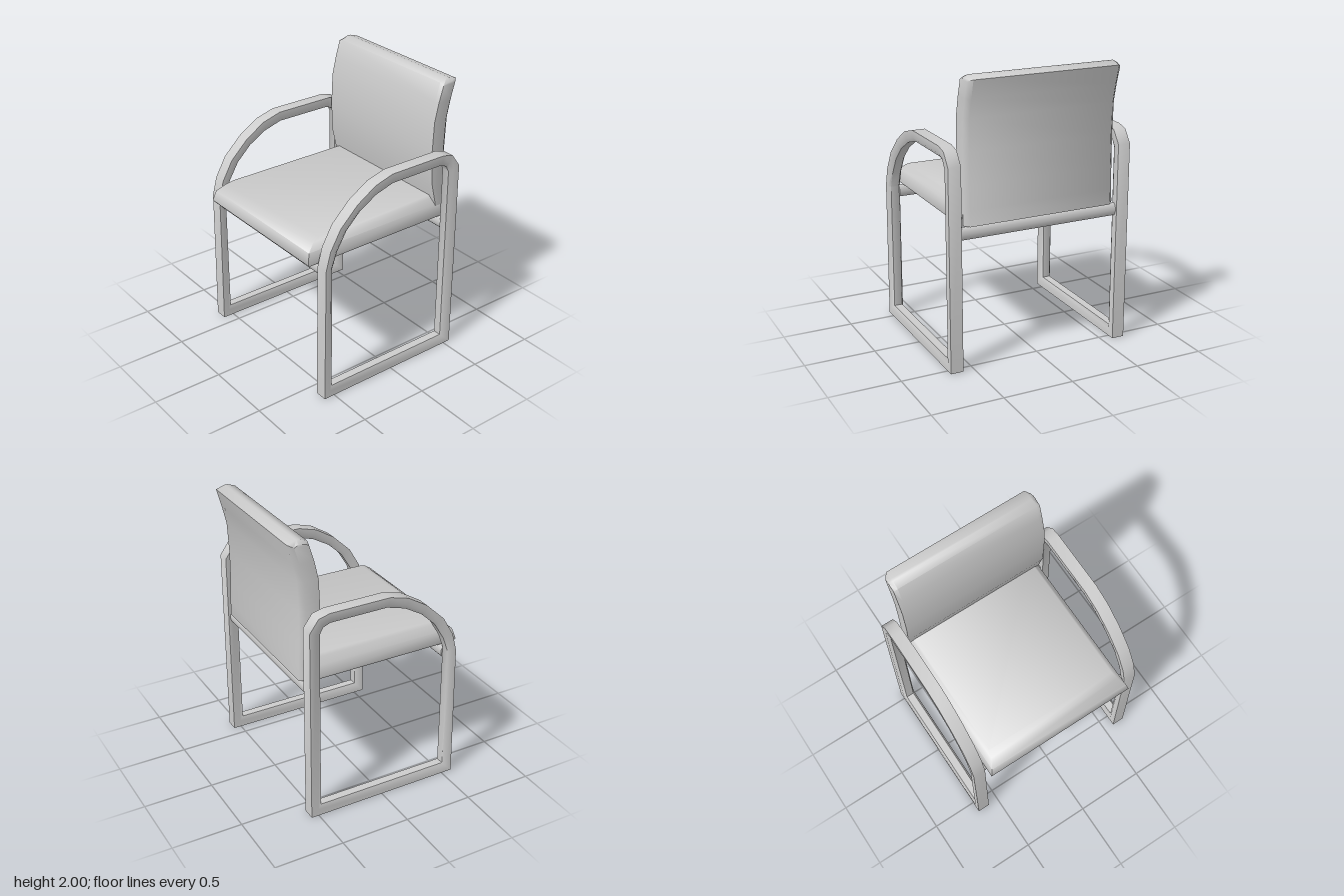
import * as THREE from 'three';
import { toCreasedNormals } from 'three/addons/utils/BufferGeometryUtils.js';

const material = new THREE.MeshStandardMaterial({ color: 0xcccccc });

// Skin a series of matching rings; either wrap round to the start or cap both ends.
function loft(rings, wrap, crease) {
  const pos = [];
  const n = rings[0].length;
  const quad = (a, b, c, d) => pos.push(...a, ...b, ...c, ...a, ...c, ...d);
  const last = rings.length - 1;
  for (let j = 0; j < (wrap ? rings.length : last); j++) {
    const r = rings[j], s = rings[(j + 1) % rings.length];
    for (let i = 0; i < n; i++) {
      const k = (i + 1) % n;
      quad(r[i], r[k], s[k], s[i]);
    }
  }
  if (!wrap) {
    const r = rings[0], s = rings[last];
    for (let i = 0; i < n / 2 - 1; i++) {
      quad(s[i], s[i + 1], s[n - 2 - i], s[n - 1 - i]);
      quad(r[n - 1 - i], r[n - 2 - i], r[i + 1], r[i]);
    }
  }
  const g = new THREE.BufferGeometry();
  g.setAttribute('position', new THREE.Float32BufferAttribute(pos, 3));
  return toCreasedNormals(g, crease);
}

function part(name, geometry) {
  const mesh = new THREE.Mesh(geometry, material);
  mesh.name = name;
  return mesh;
}

// Side frame: outer and inner outlines as [z, y], running under, up the back and over the arm.
const outer = [[0.58, 0], [-0.555, 0], [-0.555, 1.42], [-0.49, 1.51], [-0.41, 1.53], [0.03, 1.53],
  [0.17, 1.49], [0.315, 1.4], [0.45, 1.27], [0.53, 1.13], [0.565, 1.0]];
const inner = [[0.51, 0.075], [-0.475, 0.075], [-0.475, 1.39], [-0.45, 1.435], [-0.4, 1.455], [0.015, 1.455],
  [0.15, 1.415], [0.28, 1.34], [0.39, 1.235], [0.465, 1.11], [0.505, 1.0]];
// Bar section as [across, outer to inner], softened on the inner side.
const section = [[-1, 0], [-1, 0.65], [-0.65, 1], [0.65, 1], [1, 0.65], [1, 0]];

function frameGeometry(x) {
  const rings = outer.map(([z, y], i) => section.map(([s, u]) => [
    x + s * 0.045,
    y + (inner[i][1] - y) * u,
    z + (inner[i][0] - z) * u,
  ]));
  return loft(rings, true, 0.95);
}

// Seat cushion: stacked rectangles [y, half width, front z].
function seatGeometry() {
  const layers = [[1.005, 0.56, 0.62], [1.02, 0.567, 0.63], [1.095, 0.548, 0.61], [1.14, 0.515, 0.55], [1.16, 0.5, 0.5]];
  return loft(layers.map(([y, w, f]) => [[-w, y, f], [w, y, f], [w, y, -0.51], [-w, y, -0.51]]), false, 1.1);
}

// Backrest: curved side profile [y, front z, rear z], with rear and top edges eased at both ends.
function backGeometry() {
  const profile = [[2.0, -0.54, -0.56], [1.98, -0.485, -0.625], [1.85, -0.45, -0.59], [1.72, -0.42, -0.56],
    [1.5, -0.41, -0.55], [1.28, -0.42, -0.552], [1.12, -0.458, -0.56], [1.01, -0.48, -0.56]];
  const ends = [[-0.55, 1], [-0.52, 0], [0.52, 0], [0.55, 1]];
  const rings = ends.map(([x, e]) => {
    const top = (y) => Math.min(y, 2 - 0.02 * e) - (y === 1.98 ? 0.015 * e : 0);
    const front = profile.map(([y, f]) => [x, top(y), f - 0.004 * e]);
    const rear = profile.map(([y, , b], i) => [x, top(y), i ? b + 0.035 * e : b]);
    return [...front, ...rear.reverse()];
  });
  return loft(rings, false, 1.0);
}

export function createModel() {
  const chair = new THREE.Group();
  chair.name = 'armchair';

  chair.add(part('leftFrame', frameGeometry(0.624)), part('rightFrame', frameGeometry(-0.624)));
  chair.add(part('seat', seatGeometry()), part('backrest', backGeometry()));

  // Oval crossbars joining the side frames
  for (const [name, z] of [['frontCrossbar', 0.524], ['rearCrossbar', -0.515]]) {
    const bar = part(name, new THREE.CylinderGeometry(0.045, 0.045, 1.18, 16).rotateZ(Math.PI / 2).scale(1, 1, 0.6));
    bar.position.set(0, 0.957, z);
    chair.add(bar);
  }
  return chair;
}
